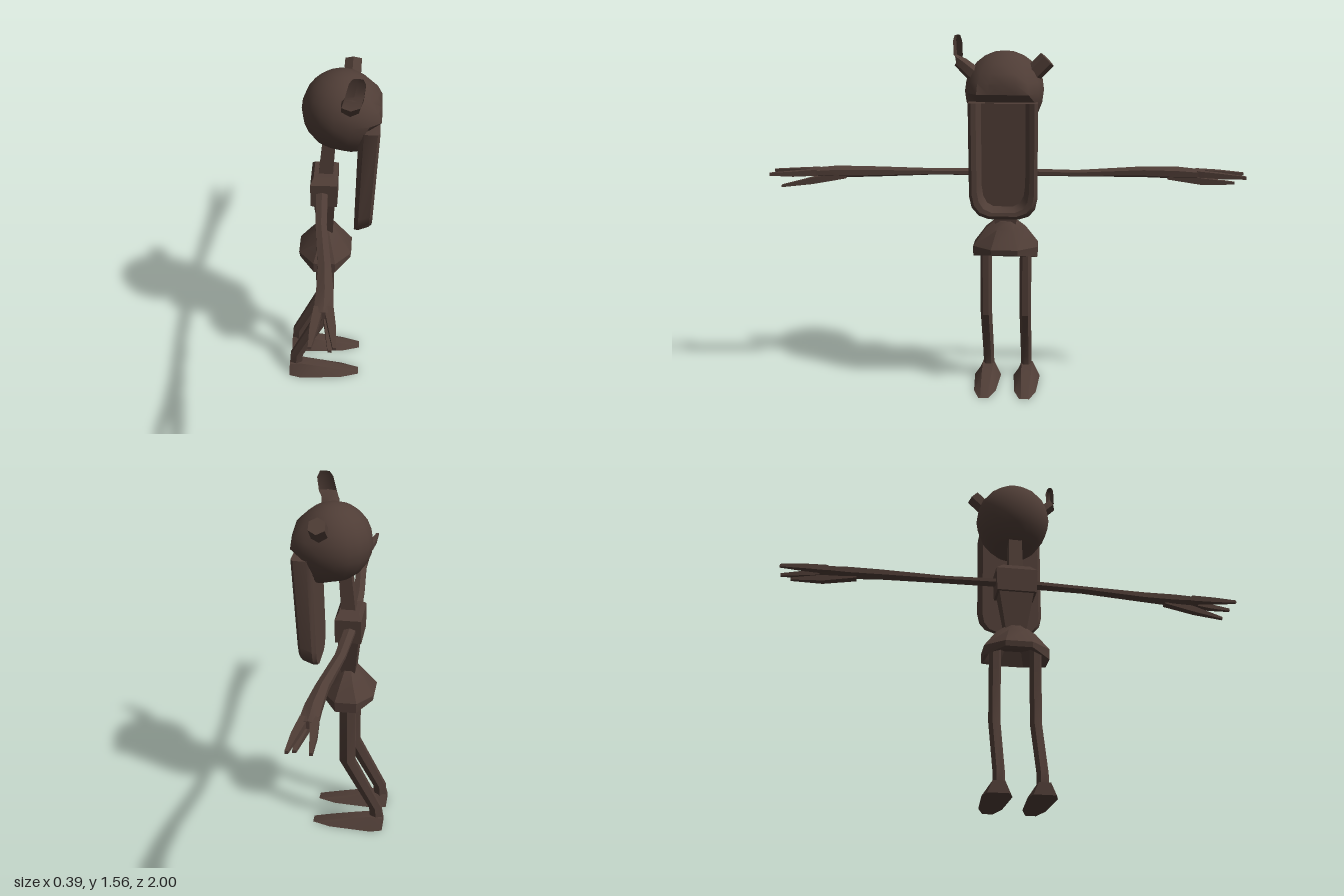
import * as THREE from 'three';
import { mergeVertices, toCreasedNormals } from 'three/addons/utils/BufferGeometryUtils.js';

const X = [1, 0, 0], Y = [0, 1, 0], Z = [0, 0, 1];

// n-sided ring around c, spanned by the axes u and v with half sizes a and b
function ring(c, u, a, v, b, n = 4) {
  const k = 1 / Math.cos(Math.PI / n);
  return Array.from({ length: n }, (_, i) => {
    const t = ((i + 0.5) / n) * Math.PI * 2;
    const p = Math.cos(t) * k * a, q = Math.sin(t) * k * b;
    return c.map((w, j) => w + u[j] * p + v[j] * q);
  });
}

// Closed skin through a list of rings, capped at both ends and turned outwards
function loft(rings, crease = 0.5) {
  const n = rings[0].length, last = rings.length - 1;
  const mid = (r) => [0, 1, 2].map((j) => r.reduce((s, p) => s + p[j], 0) / n);
  const pts = [...rings.flat(), mid(rings[0]), mid(rings[last])];
  const tris = [];
  for (let i = 0; i < n; i++) {
    const k = (i + 1) % n;
    for (let r = 0; r < last; r++) {
      const a = r * n + i, b = r * n + k;
      tris.push([a, b, b + n], [a, b + n, a + n]);
    }
    tris.push([k, i, pts.length - 2], [last * n + i, last * n + k, pts.length - 1]);
  }
  const v = pts.map((p) => new THREE.Vector3(...p));
  const volume = tris.reduce((s, [a, b, c]) => s + v[a].dot(v[b].clone().cross(v[c])), 0);
  if (volume < 0) tris.forEach((t) => t.reverse());
  const g = new THREE.BufferGeometry().setFromPoints(v);
  g.setIndex(tris.flat());
  return toCreasedNormals(g, crease);
}

export function createModel() {
  const model = new THREE.Group();
  model.name = 'figure';
  const brown = new THREE.MeshStandardMaterial({ color: 0x4f3d36 });
  brown.name = 'dark brown';
  const add = (name, geometry) => {
    const m = new THREE.Mesh(geometry, brown);
    m.name = name;
    model.add(m);
  };
  // Upright part from rows of [y, x centre, half x, half z]
  const upright = (rows, n, cz = 0) =>
    rows.map(([y, x, a, b]) => ring([x, y, cz], X, a, Z, b, n));

  // Head: ball with a squared upper lip, cut back below it for the open mouth
  let ball = new THREE.SphereGeometry(1, 18, 12);
  ball.deleteAttribute('uv');
  ball.deleteAttribute('normal');
  ball = mergeVertices(ball, 1e-4);
  const pos = ball.attributes.position;
  for (let i = 0; i < pos.count; i++) {
    const nx = pos.getX(i), ny = pos.getY(i), nz = pos.getZ(i);
    const push = 1 + 0.4 * Math.max(0, 1 - 1.6 * Math.abs(ny));
    let x = 0.035 + 0.16 * (nx > 0 ? Math.min(1, nx * push) : nx);
    let y = 1.335 + 0.162 * ny;
    if (ny < -0.1 && nx > 0) {
      y -= 0.07 * nx * -ny;
      x = Math.min(x, 0.12);
    }
    pos.setXYZ(i, x, y, nz * 0.163);
  }
  add('head', toCreasedNormals(ball, 0.75));

  // Lower jaw: a long tray hanging straight down, hollow towards +x
  const jawRing = (xTop, xLow, w, top, low) => {
    const outline = [[-w, top], [-w, low + 0.09], [-w * 0.93, low + 0.045], [-w * 0.75, low + 0.015], [-w * 0.45, low],
      [w * 0.45, low], [w * 0.75, low + 0.015], [w * 0.93, low + 0.045], [w, low + 0.09], [w, top]];
    return outline.map(([z, y]) => [xLow + ((xTop - xLow) * (y - 0.8)) / 0.5, y, z]);
  };
  add('lowerJaw', loft([
    jawRing(0.105, 0.09, 0.125, 1.29, 0.8),
    jawRing(0.125, 0.105, 0.14, 1.3, 0.803),
    jawRing(0.18, 0.15, 0.14, 1.3, 0.822),
    jawRing(0.19, 0.162, 0.128, 1.3, 0.83),
    jawRing(0.185, 0.158, 0.108, 1.3, 0.845),
    jawRing(0.14, 0.125, 0.09, 1.3, 0.865),
  ], 0.7));

  // Ears: one bent upwards, one a cut stub
  add('leftEar', loft([
    ring([0.07, 1.405, 0.125], X, 0.035, [0, 0.75, -0.66], 0.028, 6),
    ring([0.075, 1.452, 0.178], X, 0.036, [0, 0.5, -0.87], 0.024, 6),
    ring([0.087, 1.48, 0.185], X, 0.036, Z, 0.016, 6),
    ring([0.098, 1.54, 0.186], X, 0.032, Z, 0.016, 6),
    ring([0.1, 1.562, 0.186], X, 0.02, Z, 0.01, 6),
  ], 0.8));
  add('rightEar', loft([
    ring([0.07, 1.39, -0.1], X, 0.035, [0, 0.71, 0.71], 0.033, 6),
    ring([0.075, 1.465, -0.175], X, 0.033, [0, 0.71, 0.71], 0.032, 6),
  ]));

  // Neck, chest and waist
  add('neck', loft(upright([[1.03, -0.03, 0.03, 0.032], [1.22, -0.013, 0.026, 0.028]])));
  add('chest', loft(upright([
    [0.92, -0.035, 0.055, 0.085], [1.025, -0.035, 0.055, 0.09], [1.047, -0.035, 0.042, 0.06],
  ])));
  add('waist', loft(upright([[0.755, -0.03, 0.03, 0.045], [0.925, -0.034, 0.043, 0.075]])));

  // Skirt: flared and hollow underneath, hem raised at front and back
  const skirt = upright([
    [0.768, -0.03, 0.033, 0.045], [0.735, -0.03, 0.058, 0.085], [0.66, -0.032, 0.112, 0.138],
    [0.615, -0.032, 0.108, 0.138], [0.63, -0.032, 0.095, 0.122], [0.69, -0.032, 0.07, 0.09],
  ], 8);
  skirt[3].forEach((p) => { if (Math.abs(p[2]) < 0.1) p[1] += 0.022; });
  add('skirt', loft(skirt));

  for (const s of [1, -1]) {
    const side = s > 0 ? 'left' : 'right';

    // Legs bent at the knee
    const legZ = s * 0.086;
    add(side + 'Leg', loft(upright([
      [0.68, -0.035, 0.034, 0.022], [0.34, -0.035, 0.034, 0.022],
      [0.095, -0.163, 0.028, 0.021], [0.03, -0.168, 0.027, 0.021],
    ], 6, legZ)));

    // Flat wedge feet
    const sole = [[-0.197, 0.045], [-0.145, 0.06], [0.04, 0.048], [0.12, 0.022]];
    const top = [[-0.195, 0.024], [-0.14, 0.024], [-0.05, 0.022], [0.115, 0.014]];
    const height = [0.05, 0.054, 0.038, 0.003];
    const footZ = s * 0.089;
    add(side + 'Foot', loft(sole.map(([x, w], i) => [
      [x, 0, footZ - w], [x, 0, footZ + w],
      [top[i][0], height[i], footZ + top[i][1]], [top[i][0], height[i], footZ - top[i][1]],
    ])));

    // Arms held straight out, rows of [z, x, y, half x, half y]
    const limb = (rows, n = 6) => loft(rows.map(([z, x, y, a, b]) => ring([x, y, s * z], X, a, Y, b, n)));
    const lift = s > 0 ? 0 : 0.014;
    add(side + 'Arm', limb([
      [0.06, -0.043, 0.975, 0.024, 0.014], [0.3, -0.034, 0.975, 0.022, 0.012],
      [0.58, -0.006, 0.977 + lift, 0.025, 0.02], [0.72, 0.002, 0.977 + lift, 0.032, 0.022],
      [0.835, 0.003, 0.975 + lift, 0.036, 0.014],
    ]));
    for (const f of [-1, 1]) {
      add(side + (f < 0 ? 'BackFinger' : 'FrontFinger'), limb([
        [0.8, 0.002 + f * 0.018, 0.977 + lift, 0.017, 0.013],
        [0.9, 0.004 + f * 0.032, 0.972 + lift, 0.014, 0.011],
        [1.0, 0.006 + f * 0.042, 0.971 + lift * 0.7, 0.006, 0.006],
      ], 4));
    }
    const drop = s > 0 ? 0.917 : 0.955;
    add(side + 'Thumb', limb([
      [0.68, 0.006, 0.965 + lift, 0.018, 0.014],
      [0.82, 0.018, (0.965 + drop) / 2, 0.016, 0.014],
      [0.955, 0.03, drop, 0.007, 0.005],
    ], 4));
  }
  return model;
}
